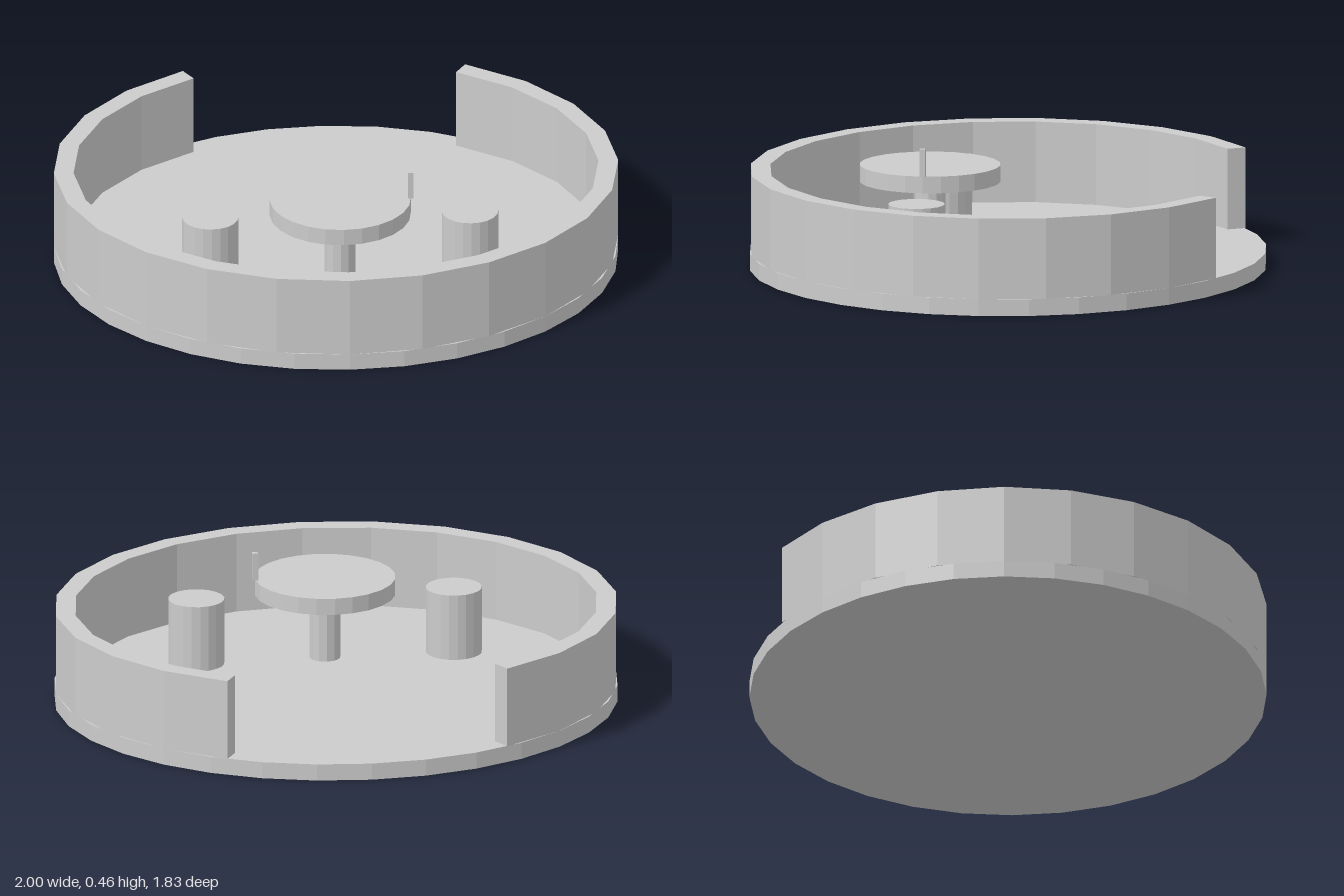
import * as THREE from 'three';

const grey = new THREE.MeshStandardMaterial({ color: 0xcccccc, flatShading: true });
grey.name = 'plain grey';

const RX = 1, RZ = 0.915;       // outer ellipse radii
const FLOOR = 0.06, WALL_TOP = 0.35;
const POST_Z = 0.277;           // row of posts in front of the centre

export function createModel() {
  const group = new THREE.Group();

  function add(name, geometry, x = 0, y = 0, z = 0) {
    const mesh = new THREE.Mesh(geometry, grey);
    mesh.name = name;
    mesh.position.set(x, y, z);
    group.add(mesh);
    return mesh;
  }

  // Upright cylinder standing between two heights
  function post(name, radius, bottom, top, sides, x, z) {
    return add(name, new THREE.CylinderGeometry(radius, radius, top - bottom, sides),
      x, (bottom + top) / 2, z);
  }

  // Oval floor slab
  post('base', 1, 0, FLOOR, 32, 0, 0).scale.set(RX, 1, RZ);

  // Surrounding wall, open for 60 degrees at the back
  const outline = [];
  const point = (i, rx, rz) => {
    const a = THREE.MathUtils.degToRad(30 + i * 15);
    return new THREE.Vector2(rx * Math.sin(a), rz * Math.cos(a));
  };
  for (let i = 0; i <= 20; i++) outline.push(point(i, RX, RZ));
  for (let i = 20; i >= 0; i--) outline.push(point(i, RX - 0.07, RZ - 0.07));
  const wall = new THREE.ExtrudeGeometry(new THREE.Shape(outline),
    { depth: WALL_TOP - FLOOR, bevelEnabled: false });
  wall.rotateX(-Math.PI / 2);
  add('wall', wall, 0, FLOOR, 0);

  // Round table on a thin stem, with a small upright peg at its edge
  post('tableStem', 0.055, FLOOR, 0.3, 12, 0, POST_Z);
  post('tableTop', 0.25, 0.3, 0.36, 24, 0, POST_Z);
  add('peg', new THREE.BoxGeometry(0.02, 0.1, 0.02), 0.25, 0.41, POST_Z);

  // Stools on both sides
  for (const side of [1, -1]) {
    post(side > 0 ? 'leftStool' : 'rightStool', 0.1, FLOOR, 0.3, 20, side * 0.46, POST_Z);
  }

  return group;
}
